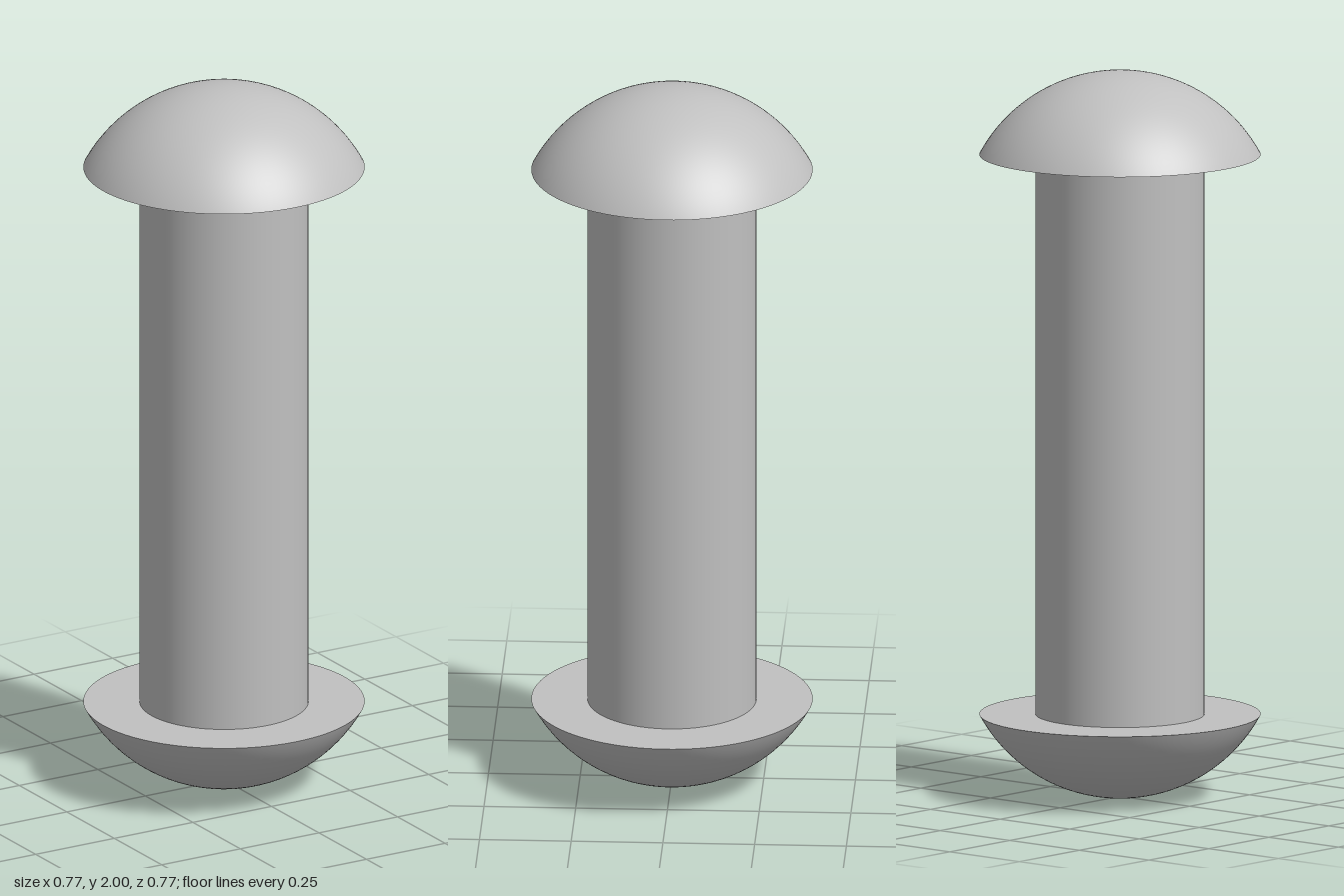
import * as THREE from 'three';

const RIM = 0.383, CAP_H = 0.228, SHAFT_R = 0.23, HEIGHT = 2, SIDES = 96;

export function createModel() {
  const group = new THREE.Group();
  group.name = 'rivet';
  const steel = new THREE.MeshStandardMaterial({ color: 0xc0c0c0 });
  steel.name = 'grey steel';

  // Sphere cap radius and half angle from its rim and height
  const R = (RIM * RIM + CAP_H * CAP_H) / (2 * CAP_H);
  const angle = Math.asin(RIM / R);

  // Domed head: spherical cap closed by a flat ring under the rim
  function head(name) {
    const part = new THREE.Group();
    part.name = name;
    const dome = new THREE.Mesh(
      new THREE.SphereGeometry(R, SIDES, 24, 0, Math.PI * 2, 0, angle), steel);
    dome.name = name + 'Dome';
    dome.position.y = CAP_H - R;
    const ring = new THREE.Mesh(new THREE.RingGeometry(SHAFT_R, RIM, SIDES), steel);
    ring.name = name + 'Underside';
    ring.rotation.x = Math.PI / 2;
    part.add(dome, ring);
    group.add(part);
    return part;
  }

  head('topHead').position.y = HEIGHT - CAP_H;
  const bottom = head('bottomHead');
  bottom.rotation.x = Math.PI;
  bottom.position.y = CAP_H;

  // Plain round shaft between the heads
  const shaft = new THREE.Mesh(
    new THREE.CylinderGeometry(SHAFT_R, SHAFT_R, HEIGHT - 2 * CAP_H, SIDES, 1, true), steel);
  shaft.name = 'shaft';
  shaft.position.y = HEIGHT / 2;
  group.add(shaft);

  return group;
}
